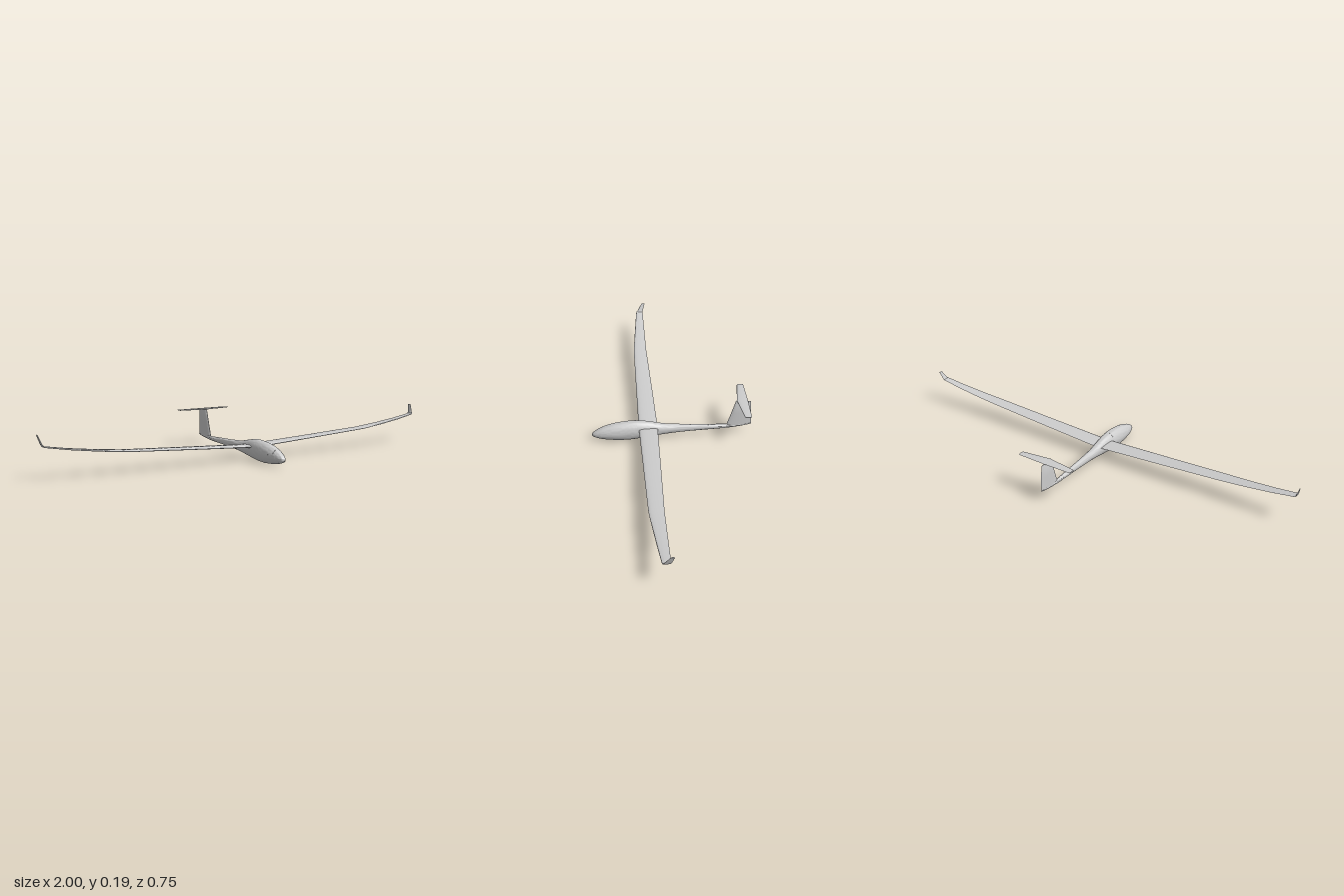
import * as THREE from 'three';
import { toCreasedNormals } from 'three/addons/utils/BufferGeometryUtils.js';

const material = new THREE.MeshStandardMaterial({ color: 0xcccccc });

// Skin a list of closed rings (arrays of Vector3), with a fan cap at both ends.
function loft(name, rings) {
  const n = rings[0].length, last = rings.length - 1;
  const pts = rings.flat(), tris = [];
  for (let i = 0; i < last; i++) {
    for (let j = 0; j < n; j++) {
      const k = (j + 1) % n, a = i * n, b = a + n;
      tris.push([a + j, a + k, b + k], [a + j, b + k, b + j]);
    }
  }
  for (const end of [0, last]) {
    const centre = new THREE.Vector3();
    rings[end].forEach(p => centre.addScaledVector(p, 1 / n));
    const c = pts.push(centre) - 1;
    for (let j = 0; j < n; j++) {
      const a = end * n + j, b = end * n + (j + 1) % n;
      tris.push(end ? [c, a, b] : [c, b, a]);
    }
  }
  // Turn the skin outward whichever way the rings run
  let volume = 0;
  const cross = new THREE.Vector3();
  for (const [a, b, c] of tris) volume += pts[a].dot(cross.crossVectors(pts[b], pts[c]));
  if (volume < 0) tris.forEach(t => t.reverse());
  const geometry = new THREE.BufferGeometry().setFromPoints(pts);
  geometry.setIndex(tris.flat());
  const mesh = new THREE.Mesh(toCreasedNormals(geometry, 0.7), material);
  mesh.name = name;
  return mesh;
}

// Aerofoil ring: place(z, h) puts a point at chord position z, h off the chord plane.
function aerofoil(le, te, thickness, place) {
  const ring = [], N = 10;
  for (let i = 0; i < 2 * N; i++) {
    const u = (1 + Math.cos(Math.PI * i / N)) / 2;
    const t = 5 * thickness * (0.2969 * Math.sqrt(u) - 0.126 * u - 0.3516 * u * u
      + 0.2843 * u ** 3 - 0.1036 * u ** 4) + 0.0003;
    ring.push(place(le + (te - le) * u, i < N ? t : -t));
  }
  return ring;
}

// Fuselage stations: z, top, bottom, half width
const stations = [
  [0.377, 0.036, 0.031, 0.002], [0.370, 0.046, 0.024, 0.010], [0.35, 0.060, 0.0165, 0.019],
  [0.32, 0.074, 0.009, 0.0265], [0.27, 0.088, 0.003, 0.033], [0.21, 0.0965, 0.0005, 0.0345],
  [0.15, 0.0975, 0.006, 0.032], [0.09, 0.087, 0.014, 0.0265], [0.03, 0.075, 0.022, 0.020],
  [-0.05, 0.068, 0.029, 0.0155], [-0.15, 0.063, 0.033, 0.0115], [-0.25, 0.058, 0.037, 0.0085],
  [-0.32, 0.0575, 0.044, 0.006], [-0.365, 0.057, 0.052, 0.003], [-0.377, 0.057, 0.0555, 0.001]];
const spine = new THREE.CatmullRomCurve3(
  stations.map(([z, top, bottom]) => new THREE.Vector3(z, top, bottom)), false, 'catmullrom');
const widths = new THREE.SplineCurve(stations.map(s => new THREE.Vector2(s[0], s[3])));

// Point on the fuselage skin; angle 0 is the top, grow lifts it off the skin.
function skin(t, angle, grow = 0) {
  const { x: z, y: top, z: bottom } = spine.getPoint(t), w = widths.getPoint(t).y;
  return new THREE.Vector3((w + grow) * Math.sin(angle),
    (top + bottom) / 2 + ((top - bottom) / 2 + grow) * Math.cos(angle), z);
}

function fuselage() {
  const rings = [], sides = 32;
  for (let i = 0; i <= 70; i++) {
    rings.push(Array.from({ length: sides }, (_, j) => skin(i / 70, j / sides * Math.PI * 2)));
  }
  return loft('fuselage', rings);
}

// Canopy: a thin shell laid over the fuselage, its lower edge dipping in the middle
function canopy() {
  const rings = [];
  for (let i = 0; i <= 24; i++) {
    const u = i / 24, t = (3 + 2.75 * u) / 14;
    const reach = 1.15 + 0.45 * Math.sin(Math.PI * u);
    const outer = [], inner = [];
    for (let j = 0; j <= 20; j++) {
      const angle = reach * (j / 10 - 1);
      outer.push(skin(t, angle, 0.0006));
      inner.unshift(skin(t, angle, -0.001));
    }
    rings.push([...outer, ...inner]);
  }
  return loft('canopy', rings);
}

// Wing sections: x, y, leading z, trailing z, thickness, tilt
const wingSections = [
  [0, 0.063, 0.157, 0.068, 0.012, 0.05], [0.32, 0.080, 0.153, 0.075, 0.010, 0.05],
  [0.64, 0.098, 0.149, 0.083, 0.008, 0.07], [0.76, 0.110, 0.139, 0.083, 0.007, 0.1],
  [0.88, 0.125, 0.128, 0.083, 0.006, 0.13], [0.975, 0.1405, 0.119, 0.083, 0.005, 0.17]];
const wingletSections = [
  wingSections[5], [0.983, 0.143, 0.117, 0.083, 0.005, 0.7],
  [0.987, 0.151, 0.109, 0.081, 0.004, 1.25], [0.998, 0.188, 0.087, 0.070, 0.003, 1.28]];

function wingPart(name, sections, side) {
  return loft(name, sections.map(([x, y, le, te, th, tilt]) => aerofoil(le, te, th,
    (z, h) => new THREE.Vector3(side * (x - h * Math.sin(tilt)), y + h * Math.cos(tilt), z))));
}

export function createModel() {
  const model = new THREE.Group();
  model.name = 'glider';
  model.add(fuselage(), canopy());

  // Wings with upturned tips
  for (const [label, side] of [['left', 1], ['right', -1]]) {
    const wing = new THREE.Group();
    wing.name = label + 'Wing';
    wing.add(wingPart(label + 'WingPanel', wingSections, side),
      wingPart(label + 'Winglet', wingletSections, side));
    model.add(wing);
  }

  // Fin: y of leading and trailing edge, leading z, trailing z, thickness
  const finSections = [
    [0.050, 0.054, -0.257, -0.376, 0.012], [0.12, 0.12, -0.279, -0.373, 0.011],
    [0.183, 0.180, -0.298, -0.370, 0.009], [0.188, 0.182, -0.302, -0.369, 0.006]];
  model.add(loft('fin', finSections.map(([y0, y1, le, te, th]) => aerofoil(le, te, th,
    (z, h) => new THREE.Vector3(h, y0 + (y1 - y0) * (z - le) / (te - le), z)))));

  // Tailplane on top of the fin: x, leading z, trailing z, thickness
  const tailSections = [
    [-0.138, -0.324, -0.352, 0.003], [-0.133, -0.321, -0.353, 0.004], [0, -0.303, -0.355, 0.006],
    [0.133, -0.321, -0.353, 0.004], [0.138, -0.324, -0.352, 0.003]];
  model.add(loft('tailplane', tailSections.map(([x, le, te, th]) => aerofoil(le, te, th,
    (z, h) => new THREE.Vector3(x, 0.187 + h, z)))));

  return model;
}
